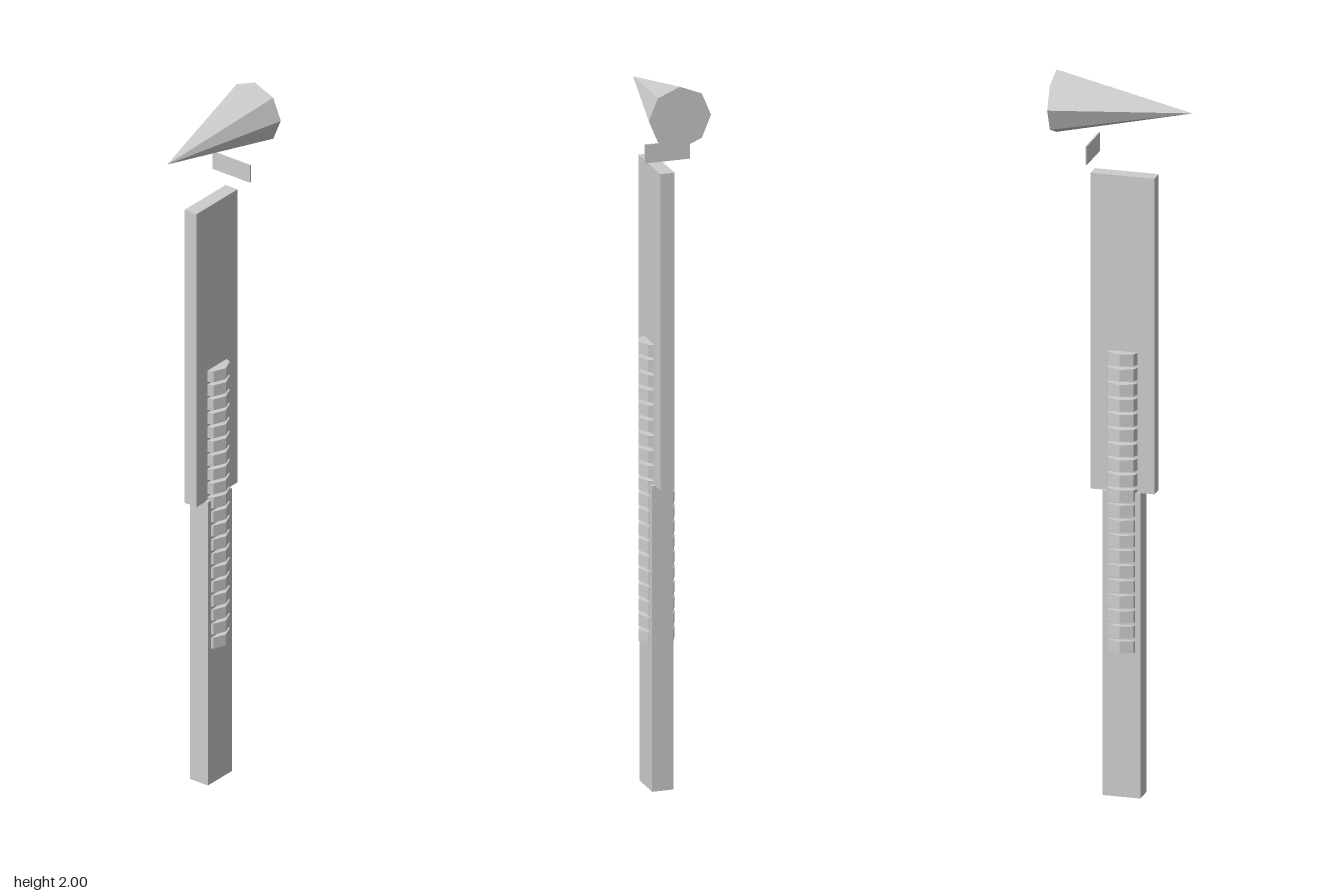
import * as THREE from 'three';

export function createModel() {
  const model = new THREE.Group();
  const grey = new THREE.MeshStandardMaterial({ color: 0xcccccc, flatShading: true });
  grey.name = 'plain grey';

  function add(name, geometry, x, y, z, parent = model) {
    const mesh = new THREE.Mesh(geometry, grey);
    mesh.name = name;
    mesh.position.set(x, y, z);
    parent.add(mesh);
    return mesh;
  }

  // Lower handle and the wider, thinner blade above it
  add('handle', new THREE.BoxGeometry(0.06, 0.85, 0.104), 0, 0.425, 0);
  add('blade', new THREE.BoxGeometry(0.04, 0.88, 0.176), 0, 1.288, 0);

  // Stack of eight-sided grip rings
  const rings = new THREE.Group();
  rings.name = 'gripRings';
  model.add(rings);
  const ringGeometry = new THREE.CylinderGeometry(0.05, 0.05, 0.033, 8);
  for (let i = 0; i < 20; i++) {
    add('gripRing', ringGeometry, 0, 0.422 + i * 0.0421, 0, rings);
  }

  // Thin floating plate at the back
  add('crossPlate', new THREE.BoxGeometry(0.126, 0.052, 0.004), 0, 1.789, -0.088);

  // Eight-sided spike pointing forward
  const spike = new THREE.ConeGeometry(0.087, 0.376, 8);
  spike.rotateX(Math.PI / 2);
  add('spike', spike, 0, 1.913, 0);

  return model;
}
